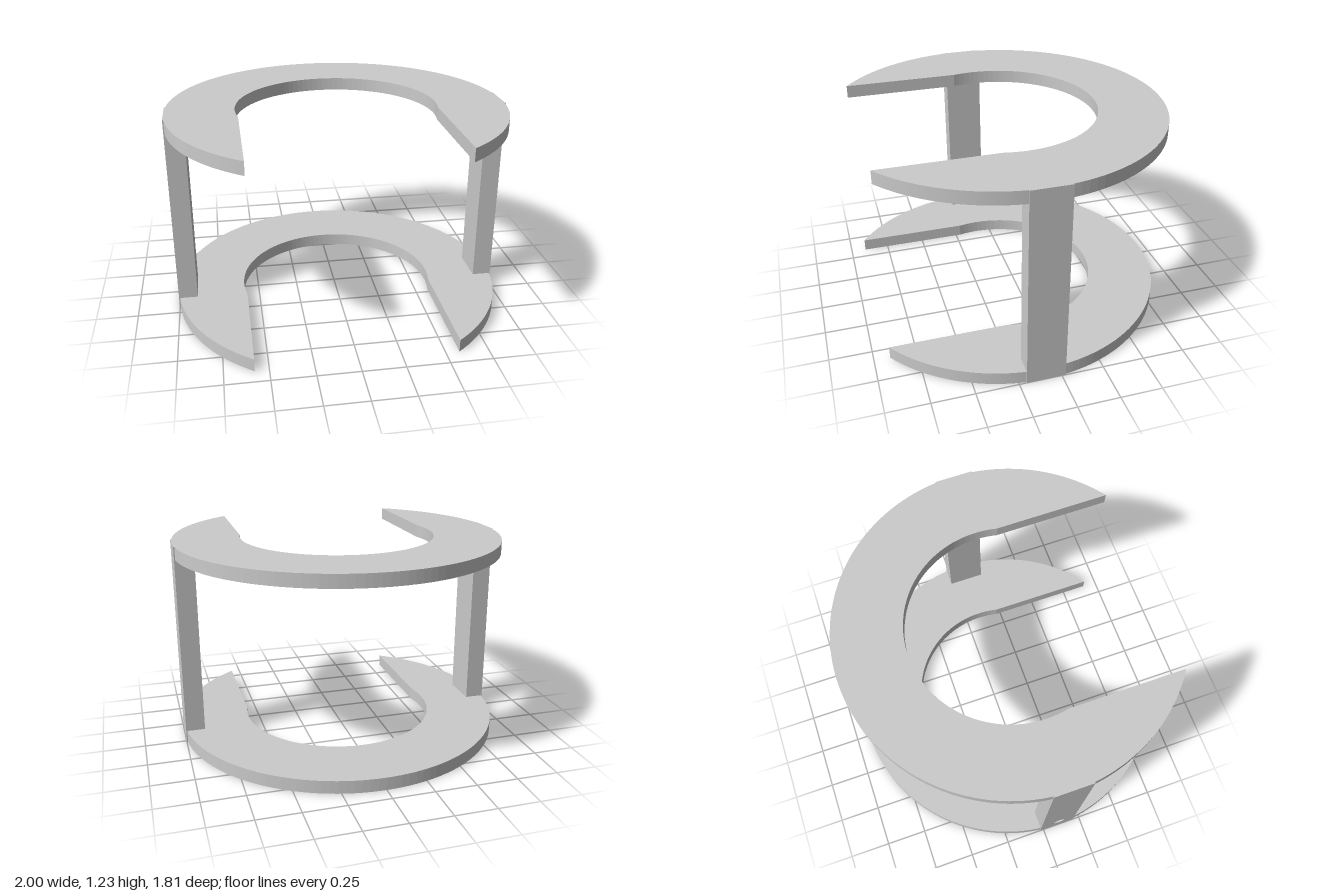
import * as THREE from 'three';

const R = 1, INNER = 0.594, CZ = 0.092;   // ring radii and centre in z
const SLOT = 0.58;                        // half width of the front opening
const HEIGHT = 1.232, PLATE = 0.077;
const POST_W = 0.115, POST_HALF = 0.115;  // post size in x, half size in z

const material = new THREE.MeshStandardMaterial({ color: 0xcccccc, flatShading: true });

function part(name, geometry, x, y, z) {
  const mesh = new THREE.Mesh(geometry, material);
  mesh.name = name;
  mesh.position.set(x, y, z);
  return mesh;
}

// Horseshoe outline with small flats where the posts meet the rim
function plateGeometry() {
  const tip = Math.acos(SLOT / R);
  const flat = Math.asin(POST_HALF / R);
  const mouth = Math.acos(SLOT / INNER);
  const s = new THREE.Shape();
  s.absarc(0, 0, R, tip, flat, true);
  s.lineTo(R, POST_HALF);
  s.lineTo(R, -POST_HALF);
  s.absarc(0, 0, R, -flat, -Math.PI + flat, true);
  s.lineTo(-R, -POST_HALF);
  s.lineTo(-R, POST_HALF);
  s.absarc(0, 0, R, Math.PI - flat, Math.PI - tip, true);
  s.absarc(0, 0, INNER, Math.PI - mouth, Math.PI * 2 + mouth, false);
  s.closePath();
  const g = new THREE.ExtrudeGeometry(s, { depth: PLATE, bevelEnabled: false, curveSegments: 32 });
  return g.rotateX(Math.PI / 2); // shape y becomes z, thickness runs downward
}

export function createModel() {
  const model = new THREE.Group();
  const plate = plateGeometry();
  model.add(part('bottomPlate', plate, 0, PLATE, CZ));
  model.add(part('topPlate', plate, 0, HEIGHT, CZ));

  // Plain post
  const postH = HEIGHT - 2 * PLATE;
  const midY = HEIGHT / 2;
  model.add(part('leftPost', new THREE.BoxGeometry(POST_W, postH, POST_HALF * 2), R - POST_W / 2, midY, CZ));

  // Post with a blind round hole low on its outer face
  const holeDepth = 0.07;
  const right = new THREE.Group();
  right.name = 'rightPost';
  const core = POST_W - holeDepth;
  right.add(part('rightPostCore', new THREE.BoxGeometry(core, postH, POST_HALF * 2), -R + holeDepth + core / 2, midY, CZ));
  const face = new THREE.Shape([
    new THREE.Vector2(-POST_HALF, PLATE), new THREE.Vector2(POST_HALF, PLATE),
    new THREE.Vector2(POST_HALF, HEIGHT - PLATE), new THREE.Vector2(-POST_HALF, HEIGHT - PLATE),
  ]);
  face.holes.push(new THREE.Path().absarc(0, 0.145, 0.042, 0, Math.PI * 2, true));
  const outer = new THREE.ExtrudeGeometry(face, { depth: holeDepth, bevelEnabled: false, curveSegments: 24 });
  outer.rotateY(-Math.PI / 2);
  right.add(part('rightPostDrilledFace', outer, -R + holeDepth, 0, CZ));
  model.add(right);

  return model;
}
